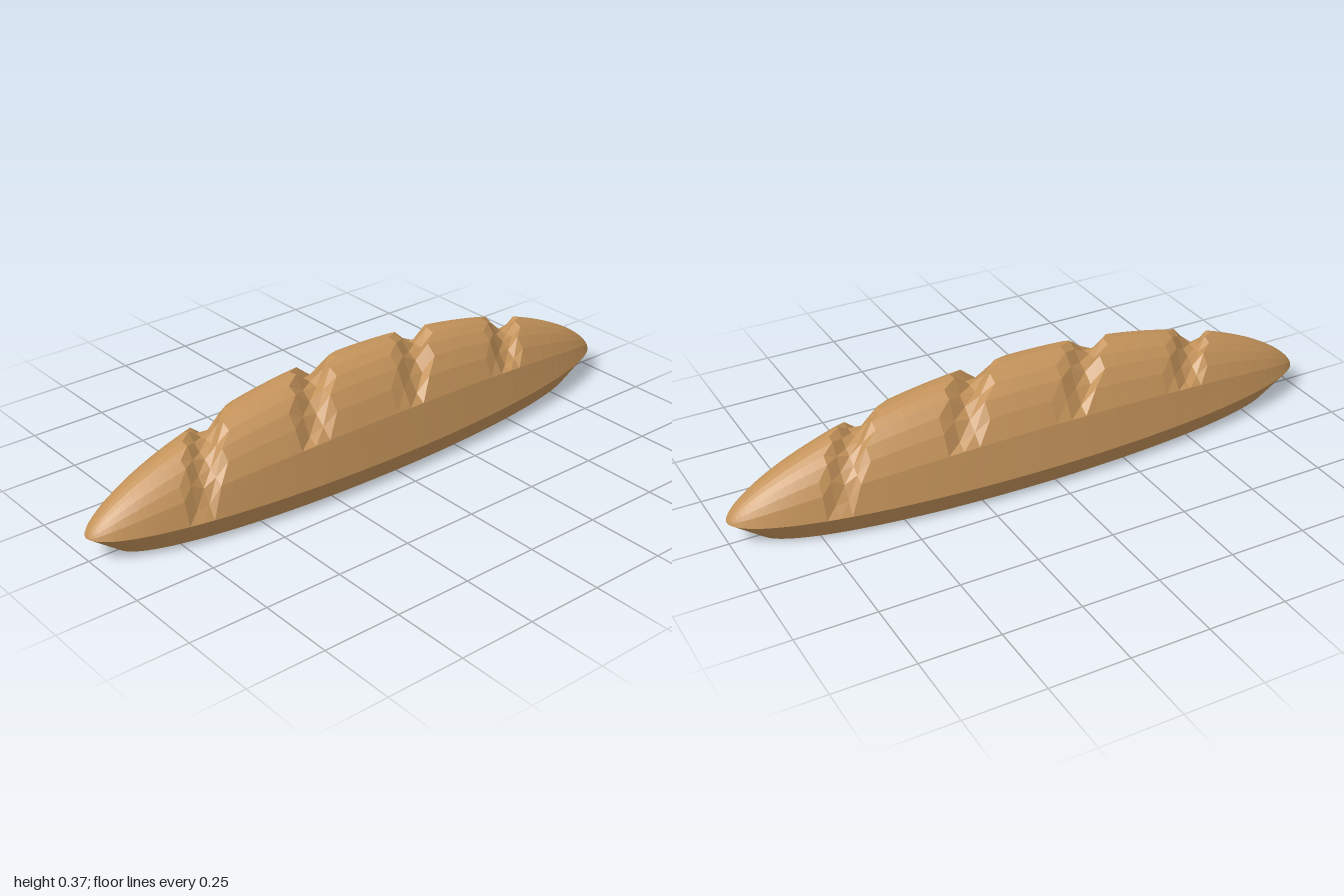
import * as THREE from 'three';

const HALF_WIDTH = 0.2, RIM = 0.075, RISE = 0.29;
const SLASHES = [-0.59, -0.2, 0.2, 0.59];

// Depth of the diagonal knife cuts at a point of the crust
function cutDepth(x, z) {
  if (Math.abs(z) > 0.14) return 0;
  let depth = 0;
  for (const c of SLASHES) {
    const d = Math.abs(x - c + 0.75 * z);
    depth = Math.max(depth, 0.045 * THREE.MathUtils.clamp((0.055 - d) / 0.025, 0, 1));
  }
  return depth;
}

export function createModel() {
  const loaf = new THREE.Group();
  loaf.name = 'breadLoaf';
  const material = new THREE.MeshStandardMaterial({ color: 0xc4935a, flatShading: true });

  // Domed crust: a grid squeezed into an ellipse, raised and slashed
  const dome = new THREE.PlaneGeometry(2, 2, 60, 12);
  const p = dome.attributes.position;
  for (let i = 0; i < p.count; i++) {
    const angle = p.getX(i) * Math.PI / 2, t = -p.getY(i);
    const w = Math.max(0, Math.cos(angle));
    const x = Math.sin(angle), z = HALF_WIDTH * w * t;
    const height = RISE * Math.pow(Math.max(0, w * w * (1 - t * t)), 0.7);
    p.setXYZ(i, x, RIM + Math.max(0, height - (height > 0.02 ? cutDepth(x, z) : 0)), z);
  }
  dome.computeVertexNormals();
  const crust = new THREE.Mesh(dome, material);
  crust.name = 'slashedCrust';
  loaf.add(crust);

  // Flared underside with a flat oval bottom
  const flare = new THREE.CylinderGeometry(1, 0.9, RIM, 120, 1, true);
  const bottom = new THREE.CircleGeometry(0.9, 120).rotateX(Math.PI / 2);
  const b = flare.attributes.position;
  for (let i = 0; i < b.count; i++) {
    b.setZ(i, b.getZ(i) * (b.getY(i) > 0 ? HALF_WIDTH : 0.16 / 0.9));
  }
  flare.translate(0, RIM / 2, 0).computeVertexNormals();
  bottom.scale(1, 1, 0.16 / 0.9);
  for (const [name, geometry] of [['flaredBase', flare], ['flatBottom', bottom]]) {
    const mesh = new THREE.Mesh(geometry, material);
    mesh.name = name;
    loaf.add(mesh);
  }
  return loaf;
}
